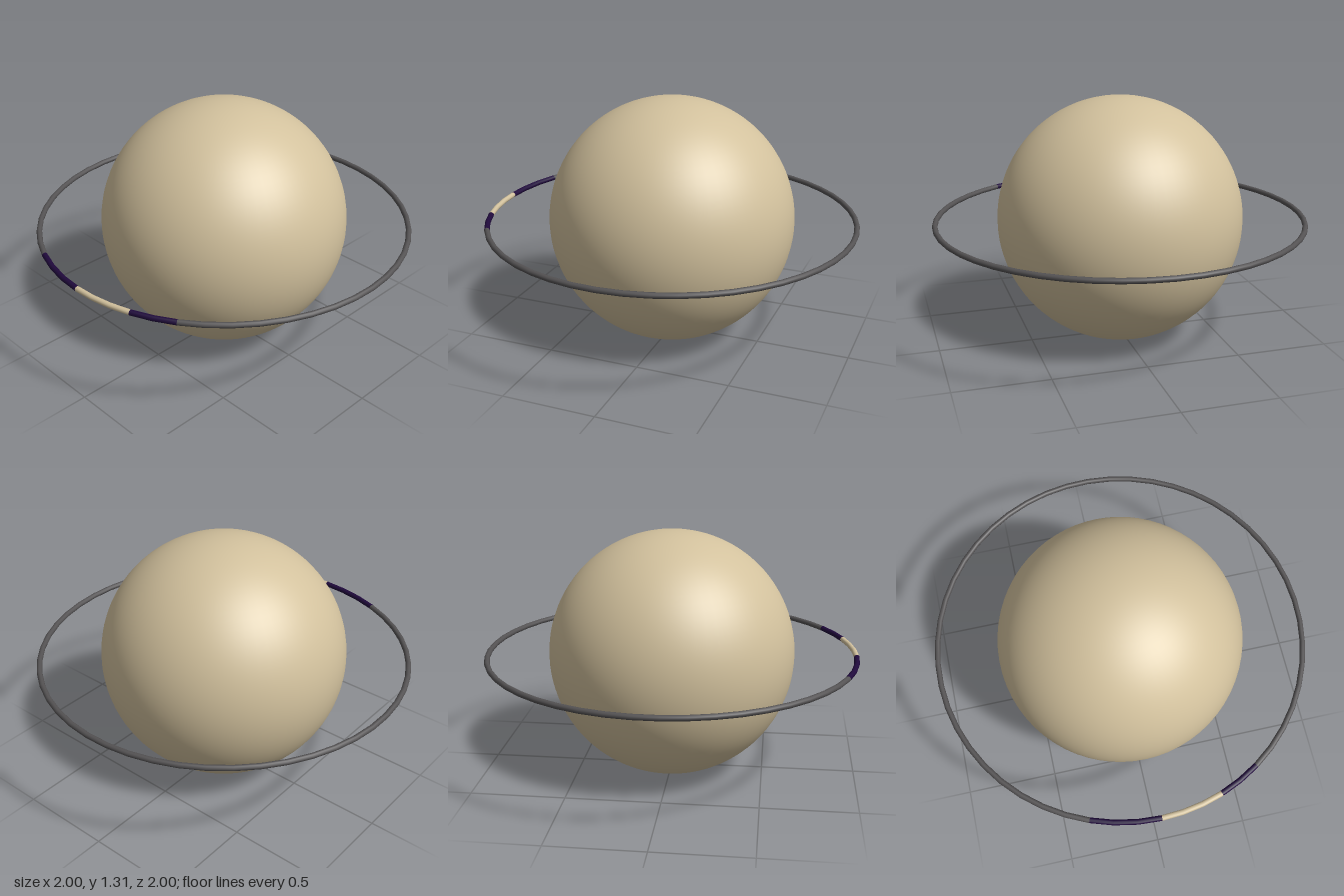
import * as THREE from 'three';

const BODY_RADIUS = 0.657;
const RING_RADIUS = 0.984;
const TUBE_RADIUS = 0.0145;

function flat(name, color) {
  const material = new THREE.MeshStandardMaterial({ color });
  material.name = name;
  return material;
}

export function createModel() {
  const model = new THREE.Group();
  model.name = 'ringedPlanet';
  const sand = flat('sand', 0xd2c19d);
  const grey = flat('grey', 0x545253);
  const purple = flat('darkPurple', 0x200a3c);

  // Planet body
  const planet = new THREE.Mesh(new THREE.SphereGeometry(BODY_RADIUS, 64, 48), sand);
  planet.name = 'planet';
  planet.position.y = BODY_RADIUS;
  model.add(planet);

  // Horizontal ring in coloured arcs; degrees run from +x towards +z
  const ring = new THREE.Group();
  ring.name = 'ring';
  ring.position.y = BODY_RADIUS;
  const arcs = [
    ['frontPurpleArc', purple, 147, 160.6, 2],
    ['sandArc', sand, 160.6, 180, 3],
    ['backPurpleArc', purple, 180, 201.4, 3],
    ['greyArc', grey, 201.4, 507, 42],
  ];
  for (const [name, material, start, end, segments] of arcs) {
    const geometry = new THREE.TorusGeometry(
      RING_RADIUS, TUBE_RADIUS, 12, segments, THREE.MathUtils.degToRad(end - start));
    geometry.rotateZ(THREE.MathUtils.degToRad(start));
    geometry.rotateX(Math.PI / 2);
    const arc = new THREE.Mesh(geometry, material);
    arc.name = name;
    ring.add(arc);
  }
  model.add(ring);
  return model;
}
